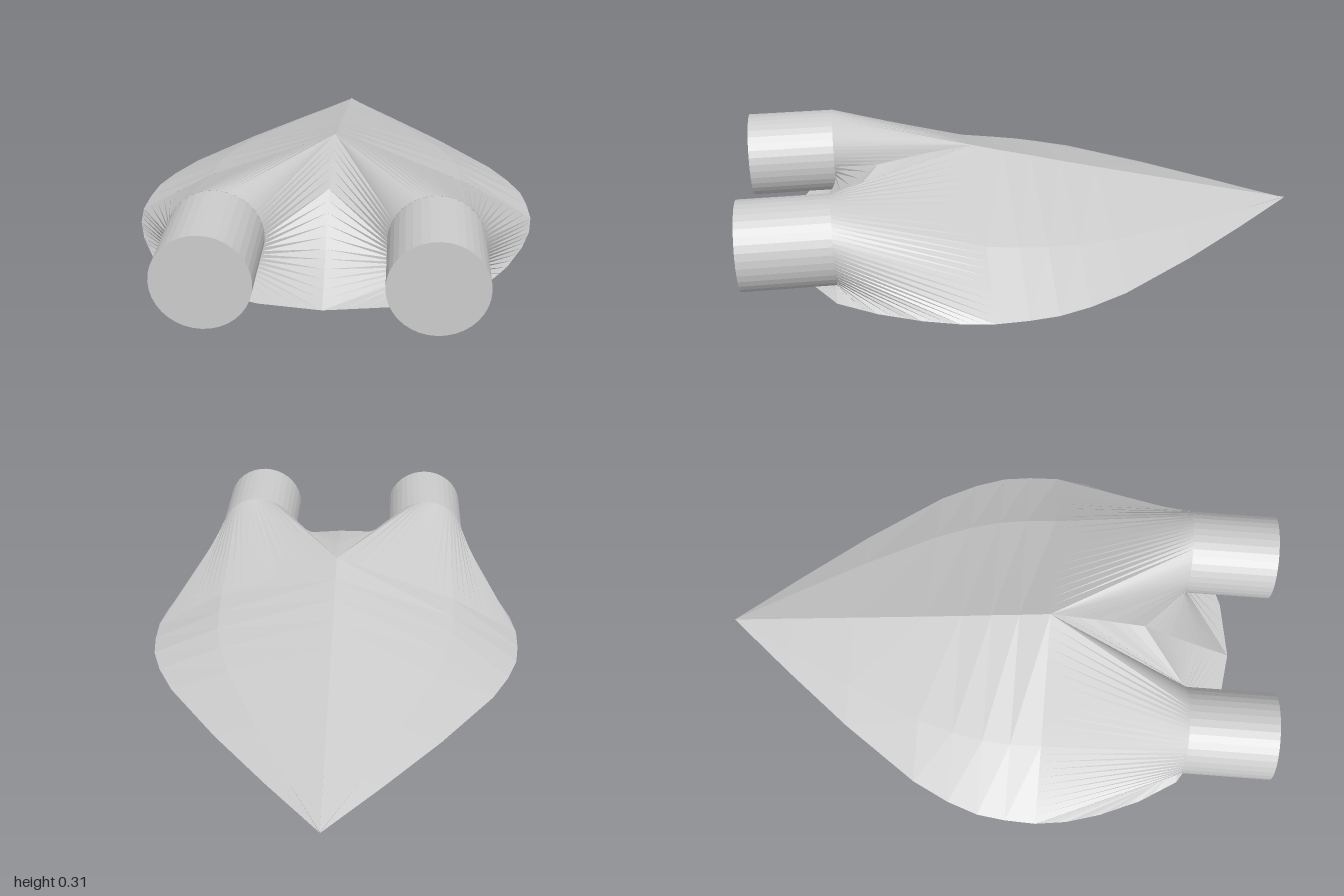
import * as THREE from 'three';

const R = 0.153, CX = 0.345, CY = 0.155, NECK_Z = 0.69;
const material = new THREE.MeshStandardMaterial({ color: 0xcccccc, flatShading: true });

// Surface stretched between rows of points
function loft(name, rows) {
  const pos = [];
  for (let r = 0; r < rows.length - 1; r++) {
    const a = rows[r], b = rows[r + 1];
    for (let i = 0; i < a.length - 1; i++) {
      pos.push(...a[i], ...b[i + 1], ...b[i], ...a[i], ...a[i + 1], ...b[i + 1]);
    }
  }
  const geometry = new THREE.BufferGeometry();
  geometry.setAttribute('position', new THREE.Float32BufferAttribute(pos, 3));
  geometry.computeVertexNormals();
  const mesh = new THREE.Mesh(geometry, material);
  mesh.name = name;
  return mesh;
}

// Half of the body's rim: angle on the pipe's circle, then the x, y, z it joins
const RIM = [
  [-90, 0.36, 0, 0.78], [-60, 0.5, 0, 0.69], [-45, 0.58, 0, 0.56],
  [-30, 0.64, 0, 0.42], [-15, 0.675, 0, 0.3], [0, 0.69, 0, 0.19],
  [50, 0.44, 0.14, 0.19], [110, 0, 0.305, 0.19], [150, 0, 0.305, 0.19],
  [165, 0, 0.285, 0.345], [180, 0, 0.25, 0.53], [205, 0, 0.12, 0.7],
  [235, 0, 0, 0.87], [250, 0.2, 0, 0.84], [270, 0.36, 0, 0.78],
];

function rimAt(angle) {
  let i = 0;
  while (i < RIM.length - 2 && RIM[i + 1][0] < angle) i++;
  const a = RIM[i], b = RIM[i + 1], t = (angle - a[0]) / (b[0] - a[0]);
  return [1, 2, 3].map(k => a[k] + (b[k] - a[k]) * t);
}

export function createModel() {
  const group = new THREE.Group();

  for (const side of [1, -1]) {
    const label = side > 0 ? 'left' : 'right';

    // Front shoulder blending the body into the round pipe
    const rim = [], circle = [];
    for (let d = -90; d <= 270; d += 5) {
      const t = THREE.MathUtils.degToRad(d), [x, y, z] = rimAt(d);
      rim.push([side * x, y, z]);
      circle.push([side * (CX + R * Math.cos(t)), CY + R * Math.sin(t), NECK_Z]);
    }
    group.add(loft(label + 'Shoulder', side > 0 ? [rim, circle] : [circle, rim]));

    // Pipe
    const pipe = new THREE.Mesh(new THREE.CylinderGeometry(R, R, 1 - NECK_Z, 36), material);
    pipe.rotation.x = Math.PI / 2;
    pipe.position.set(side * CX, CY, (1 + NECK_Z) / 2);
    pipe.name = label + 'Pipe';
    group.add(pipe);
  }

  // Tapered rear: z, half width, ridge height
  const stations = [
    [-1, 0, 0.005], [-0.77, 0.19, 0.06], [-0.53, 0.38, 0.12], [-0.26, 0.57, 0.187],
    [-0.13, 0.635, 0.22], [-0.02, 0.673, 0.25], [0.08, 0.686, 0.275], [0.19, 0.69, 0.305],
  ];
  // Cross-section from the -x edge over the ridge to the +x edge
  const section = [[-1, 0], [-0.638, 0.459], [0, 1], [0.638, 0.459], [1, 0]];
  group.add(loft('taperedRear', section.map(([u, v]) =>
    stations.map(([z, w, h]) => [u * w, v * h, z]))));

  // Flat underside following the outline
  const half = [
    ...stations.map(([z, w]) => [w, z]),
    [0.675, 0.3], [0.64, 0.42], [0.58, 0.56], [0.5, 0.69], [0.36, 0.78], [0.2, 0.84], [0, 0.87],
  ];
  const outline = [...half, ...half.slice(1, -1).reverse().map(([x, z]) => [-x, z])];
  const shape = new THREE.Shape(outline.map(([x, z]) => new THREE.Vector2(x, z)));
  const underside = new THREE.Mesh(new THREE.ShapeGeometry(shape).rotateX(Math.PI / 2), material);
  underside.name = 'underside';
  group.add(underside);

  return group;
}
